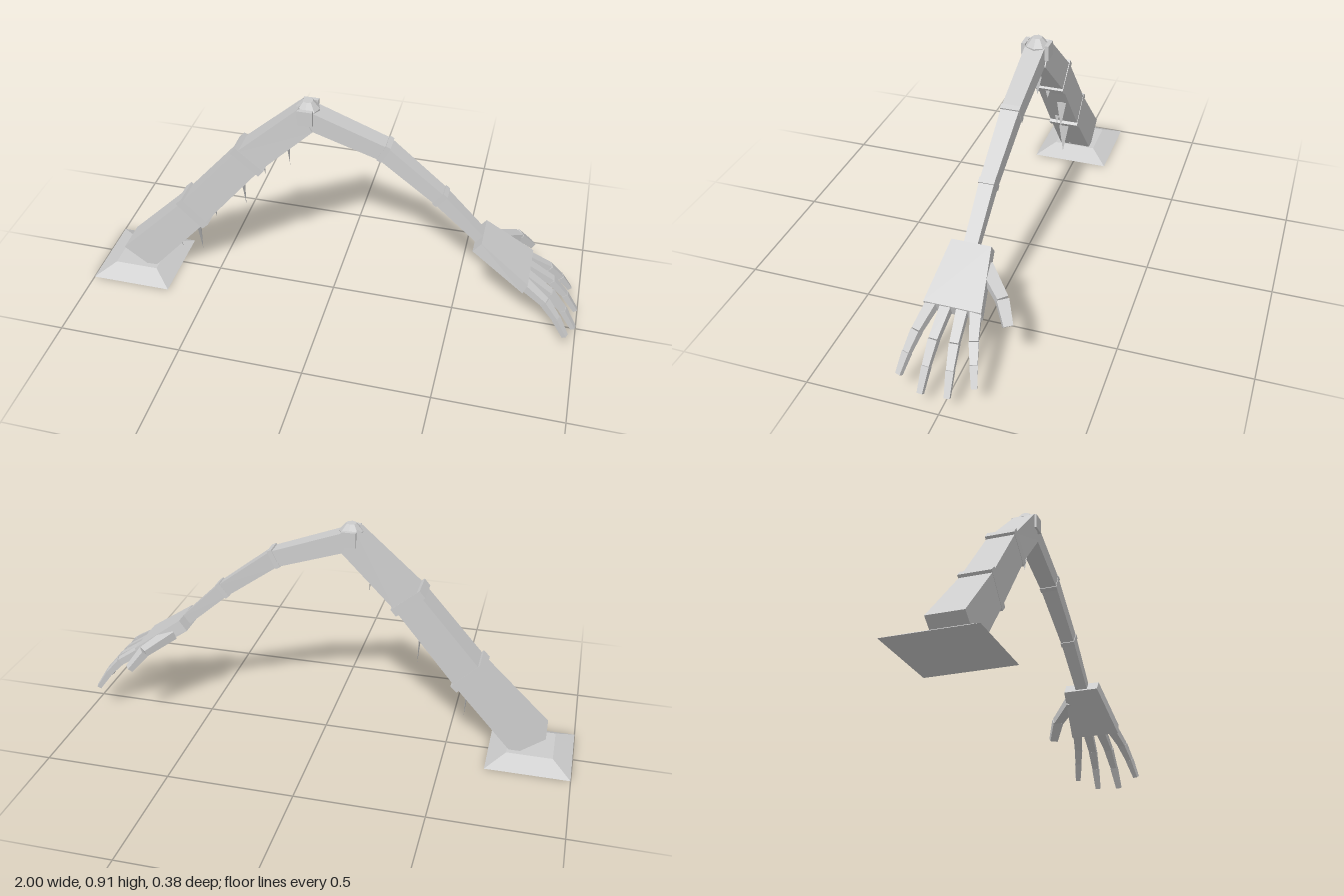
import * as THREE from 'three';

const V = (x, y, z) => new THREE.Vector3(x, y, z);

// Flat-faced solid through four-cornered sections
function loft(sections) {
  const p = [];
  const tri = (...c) => c.forEach(v => p.push(v.x, v.y, v.z));
  for (let i = 0; i < sections.length - 1; i++) {
    const a = sections[i], b = sections[i + 1];
    for (let k = 0; k < 4; k++) {
      const n = (k + 1) % 4;
      tri(a[k], a[n], b[n]);
      tri(a[k], b[n], b[k]);
    }
  }
  const s = sections[0], e = sections[sections.length - 1];
  tri(s[0], s[2], s[1]); tri(s[0], s[3], s[2]);
  tri(e[0], e[1], e[2]); tri(e[0], e[2], e[3]);
  const g = new THREE.BufferGeometry();
  g.setAttribute('position', new THREE.Float32BufferAttribute(p, 3));
  g.computeVertexNormals();
  return g;
}

function flat(g) {
  const f = g.toNonIndexed();
  f.computeVertexNormals();
  return f;
}

// Section from its upper edge, lower edge and z range
const sec = ([xt, yt, xb, yb, z0, z1]) =>
  [V(xt, yt, z0), V(xt, yt, z1), V(xb, yb, z1), V(xb, yb, z0)];

// Ring slightly larger than the limb it wraps
function ring([xt, yt, xb, yb, z0, z1], width, grow) {
  const up = V(xt - xb, yt - yb, 0).normalize();
  const along = V(up.y, -up.x, 0);
  return loft([-0.5, 0.5].map(t => {
    const ox = along.x * width * t, oy = along.y * width * t;
    return sec([xt + up.x * grow + ox, yt + up.y * grow + oy,
      xb - up.x * grow + ox, yb - up.y * grow + oy, z0 - 0.002, z1 + 0.002]);
  }));
}

// Tapered bar between two points
function bar(a, b, w0, w1, t0, t1) {
  const dir = b.clone().sub(a).normalize();
  const side = dir.clone().cross(V(0, 1, 0)).normalize();
  const up = side.clone().cross(dir);
  const at = (c, w, t) => [[-1, 1], [1, 1], [1, -1], [-1, -1]].map(([s, u]) =>
    c.clone().addScaledVector(side, s * w / 2).addScaledVector(up, u * t / 2));
  return loft([at(a, w0, t0), at(b, w1, t1)]);
}

export function createModel() {
  const root = new THREE.Group();
  root.name = 'bentArm';
  const grey = new THREE.MeshStandardMaterial({ color: 0xcccccc });
  grey.name = 'plain grey';
  const add = (name, geometry, parent = root) => {
    const m = new THREE.Mesh(geometry, grey);
    m.name = name;
    parent.add(m);
    return m;
  };

  // Sloped base plate
  const slab = (x0, x1, z0, z1, y) => [V(x0, y, z1), V(x1, y, z1), V(x1, y, z0), V(x0, y, z0)];
  add('base', loft([slab(-1, -0.67, -0.147, 0.183, 0), slab(-0.925, -0.745, -0.073, 0.11, 0.04)]));

  // Upper arm with two raised rings
  const upper = [
    [-0.89, 0.11, -0.77, 0.02, -0.05, 0.087],
    [-0.62, 0.38, -0.53, 0.29, -0.052, 0.07],
    [-0.375, 0.665, -0.285, 0.59, -0.054, 0.058],
    [-0.125, 0.892, -0.07, 0.80, -0.042, 0.045],
  ];
  add('upperArm', loft(upper.map(sec)));
  for (const i of [1, 2]) add('upperArmRing', ring(upper[i], 0.035, 0.012));

  // Forearm with small steps at its joints
  const fore = [
    [-0.1, 0.89, -0.09, 0.805, -0.038, 0.04],
    [0.215, 0.772, 0.185, 0.712, -0.033, 0.036],
    [0.44, 0.595, 0.405, 0.55, -0.014, 0.042],
    [0.61, 0.425, 0.575, 0.40, -0.005, 0.046],
  ];
  add('forearm', loft(fore.map(sec)));
  for (const i of [1, 2]) add('forearmRing', ring(fore[i], 0.02, 0.005));

  // Domed elbow cap with a lug on each side
  const elbow = new THREE.Group();
  elbow.name = 'elbow';
  elbow.position.set(-0.097, 0, 0);
  root.add(elbow);
  add('elbowCap', flat(new THREE.CylinderGeometry(0.02, 0.046, 0.03, 8)), elbow).position.y = 0.895;
  add('elbowCollar', flat(new THREE.CylinderGeometry(0.046, 0.042, 0.03, 8)), elbow).position.y = 0.865;
  for (const s of [-1, 1]) {
    add('elbowLug', new THREE.BoxGeometry(0.058, 0.06, 0.016), elbow).position.set(0, 0.86, s * 0.046);
  }

  // Flat spikes hanging from the underside: x, y of root, length, z
  const spikes = [
    [-0.175, 0.73, 0.11, 0.02], [-0.28, 0.61, 0.06, 0.01], [-0.38, 0.51, 0.15, -0.02],
    [-0.49, 0.37, 0.06, 0.03], [-0.57, 0.27, 0.15, 0.022], [-0.65, 0.185, 0.055, 0.038],
    [-0.745, 0.075, 0.03, 0.04],
  ];
  for (const [x, y, len, z] of spikes) {
    const g = new THREE.ConeGeometry(0.012 + len * 0.09, len, 4);
    g.rotateX(Math.PI).scale(0.22, 1, 1);
    const spike = add('spike', flat(g));
    spike.position.set(x + 0.005, y - len / 2, z);
    spike.rotation.z = 0.06;
  }

  // Palm
  const hand = new THREE.Group();
  hand.name = 'hand';
  root.add(hand);
  add('palm', loft([
    [0.598, 0.437, 0.567, 0.395, -0.056, 0.093],
    [0.79, 0.30, 0.775, 0.255, -0.085, 0.127],
  ].map(sec)), hand);

  // Jointed digits, each link starting a little wider than the last one ended
  const digit = (name, pts, w, t) => {
    for (let i = 0; i < pts.length - 1; i++) {
      const k = 1 - i * 0.14;
      add(name, bar(pts[i], pts[i + 1], w * k, w * (k - 0.2), t * k, t * (k - 0.2)), hand);
    }
  };
  // Finger root z, tip z, tip x, tip y
  const fingers = [
    [-0.06, -0.115, 0.953, 0.112], [-0.012, -0.03, 0.987, 0.075],
    [0.047, 0.068, 0.987, 0.068], [0.1, 0.158, 0.957, 0.102],
  ];
  for (const [z0, z1, x, y] of fingers) {
    const at = (fx, fy, fz) => V(0.775 + (x - 0.775) * fx, 0.282 + (y - 0.282) * fy, z0 + (z1 - z0) * fz);
    digit('finger', [at(0, 0, 0), at(0.48, 0.3, 0.42), at(0.76, 0.62, 0.72), at(1, 1, 1)], 0.04, 0.034);
  }
  digit('thumb', [V(0.635, 0.372, -0.045), V(0.725, 0.322, -0.138), V(0.778, 0.256, -0.176)], 0.052, 0.036);

  return root;
}
